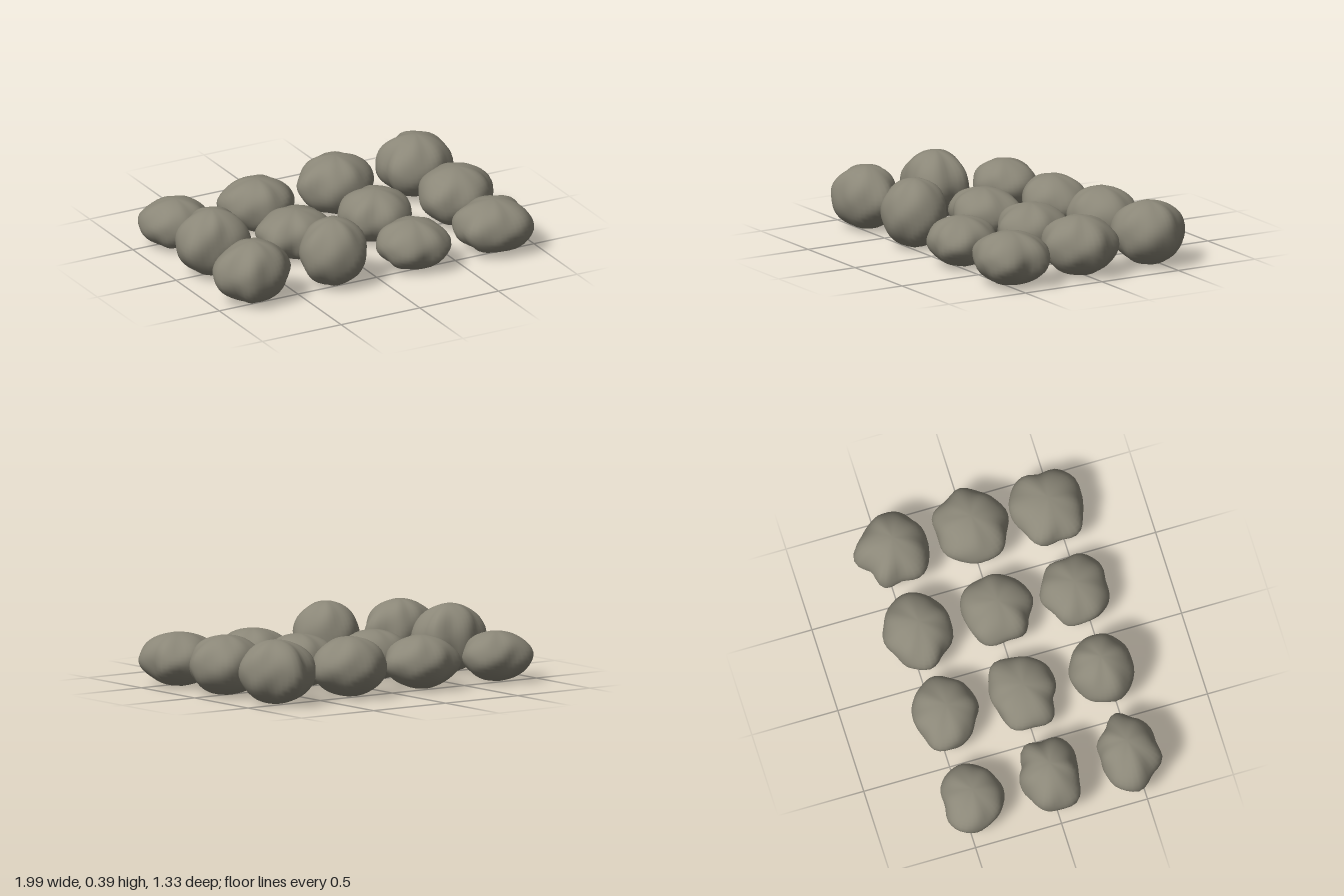
import * as THREE from 'three';
import { mergeVertices } from 'three/addons/utils/BufferGeometryUtils.js';

// Smooth closed interpolation of evenly spaced radii around the stone
function radiusAt(radii, angle) {
  const n = radii.length;
  const t = ((angle / (Math.PI * 2)) * n + n) % n;
  const i = Math.floor(t), f = t - i;
  const [a, b, c, d] = [-1, 0, 1, 2].map((k) => radii[(i + k + n) % n]);
  return b + 0.5 * f * (c - a + f * (2 * a - 5 * b + 4 * c - d + f * (3 * (b - c) + d - a)));
}

// A lumpy stone: plan outline in hundredths (every 30 degrees from +x towards +z), given height
function stoneGeometry(height, outline, seed) {
  const sphere = new THREE.SphereGeometry(1, 40, 22);
  sphere.deleteAttribute('uv');
  sphere.deleteAttribute('normal');
  const geometry = mergeVertices(sphere, 1e-4);
  const pos = geometry.attributes.position;
  const mean = outline.reduce((s, r) => s + r, 0) / outline.length;
  for (let i = 0; i < pos.count; i++) {
    const x = pos.getX(i), y = pos.getY(i), z = pos.getZ(i);
    const ring = Math.hypot(x, z);
    const angle = Math.atan2(z, x);
    // the outline is strongest at the waist and fades to a round crown and base
    const r = (mean + (radiusAt(outline, angle) - mean) * ring * ring) / 100;
    // soft dents above and below the waist
    const lump = 1 + 0.09 * ring * ring * y * Math.sin(5 * angle + seed * 1.7 + 3 * y)
      + 0.04 * ring * ring * Math.abs(y) * Math.sin(8 * angle + seed);
    pos.setXYZ(i, x * r * lump, (height / 2) * (1 + y * (1 + (lump - 1) * 0.6)), z * r * lump);
  }
  geometry.computeVertexNormals();
  return geometry;
}

export function createModel() {
  const group = new THREE.Group();
  group.name = 'stones';
  const stoneGrey = new THREE.MeshStandardMaterial({ color: 0x8b8778 });
  stoneGrey.name = 'stoneGrey';

  let count = 0;
  const stone = (name, x, z, height, outline) => {
    const mesh = new THREE.Mesh(stoneGeometry(height, outline, ++count), stoneGrey);
    mesh.name = name;
    mesh.position.set(x, 0, z);
    group.add(mesh);
  };

  // Back row
  stone('backStone1', -0.76, -0.445, 0.28, [20, 19, 17, 18, 17.5, 18, 19, 21, 19.5, 16, 18.5, 20]);
  stone('backStone2', -0.245, -0.44, 0.3, [23, 20, 19, 18.5, 16.5, 18.5, 20, 22.5, 18.5, 19, 20, 21]);
  stone('backStone3', 0.26, -0.45, 0.335, [23.5, 20.5, 20, 18.5, 19.5, 18.5, 23, 21, 19, 20.5, 20, 22]);
  stone('backStone4', 0.77, -0.45, 0.36, [20, 21, 19.5, 20, 21, 23, 19.5, 22.5, 18, 22.5, 18.5, 19]);

  // Middle row
  stone('middleStone1', -0.77, 0, 0.385, [19, 22, 19, 16.5, 17, 22, 20.5, 20.5, 17, 17.5, 16, 21]);
  stone('middleStone2', -0.245, 0.005, 0.28, [21.5, 20.5, 20.5, 19, 17, 22.5, 21, 22.5, 18, 18.5, 20, 23.5]);
  stone('middleStone3', 0.265, 0.01, 0.3, [20, 20, 20.5, 20.5, 18, 20.5, 19, 21.5, 20, 19.5, 21.5, 21]);
  stone('middleStone4', 0.775, 0.01, 0.335, [22, 20.5, 20, 21.5, 20, 23, 21.5, 21, 22, 19.5, 22.5, 20.5]);

  // Front row
  stone('frontStone1', -0.76, 0.455, 0.36, [23, 19, 18.5, 17, 20, 19.5, 23.5, 22, 17.5, 15.5, 17.5, 17]);
  stone('frontStone2', -0.25, 0.455, 0.39, [19.5, 18.5, 19, 18, 19, 20, 20, 19, 18, 18.5, 17.5, 18]);
  stone('frontStone3', 0.255, 0.455, 0.28, [18.5, 21.5, 21, 18, 20, 20, 20, 20.5, 18, 20, 18.5, 20.5]);
  stone('frontStone4', 0.77, 0.455, 0.3, [18.5, 22.5, 21.5, 20, 20, 23.5, 20.5, 23.5, 20, 21.5, 22, 22.5]);

  return group;
}
